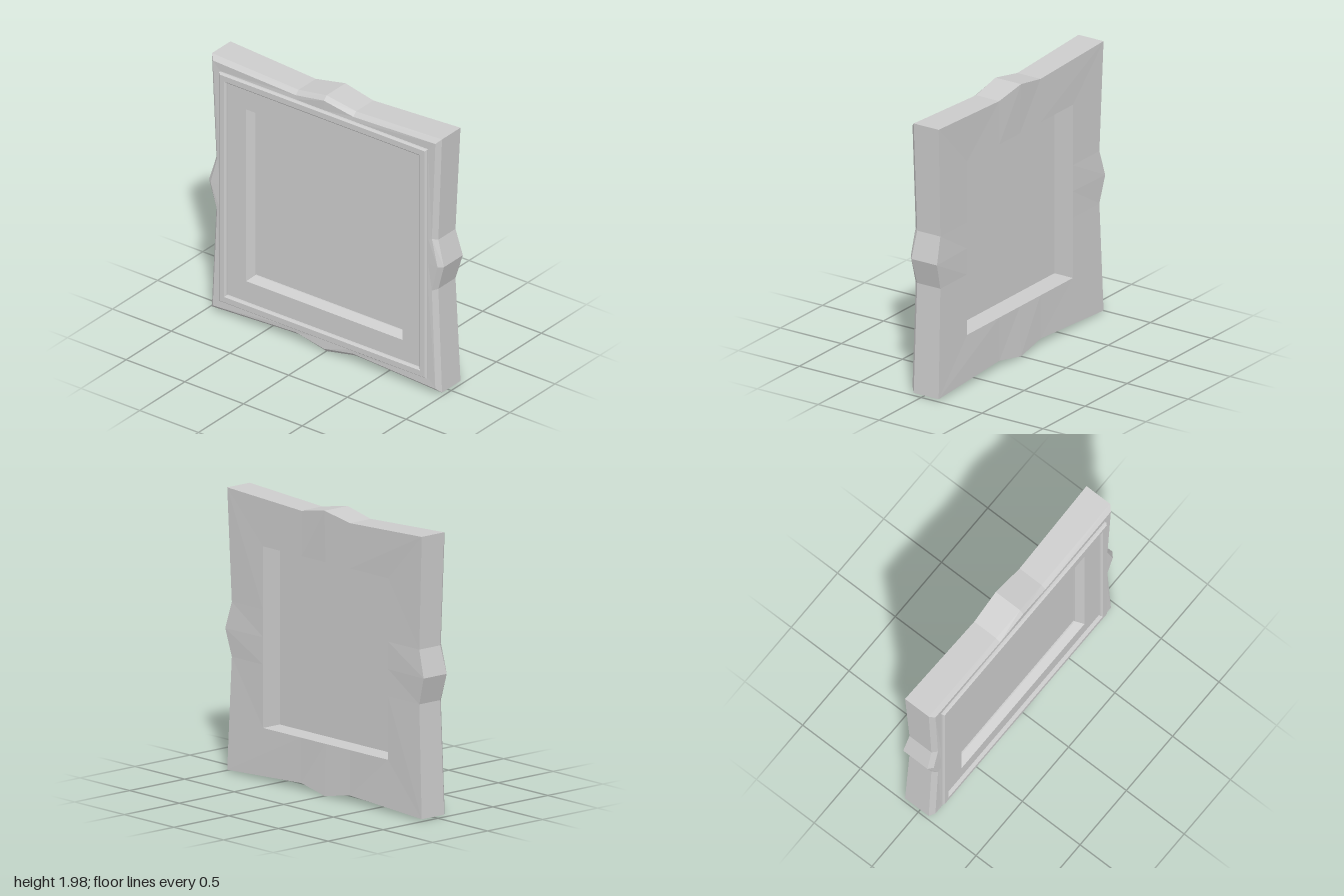
import * as THREE from 'three';

const material = new THREE.MeshStandardMaterial({ color: 0xcccccc, flatShading: true });

// One loop of 16 points, counter-clockwise from the front: corner, dip, peak, dip on each side.
// side and top give [distance of dip, distance of peak, offset of dip along the edge]; z likewise per kind.
function ring(corner, side, top, [zCorner, zDip, zPeak]) {
  const points = [];
  for (let i = 0; i < 4; i++) {
    const [dip, peak, along] = i % 2 ? top : side;
    const edge = [
      [corner, -corner, zCorner], [dip, -along, zDip], [peak, 0, zPeak], [dip, along, zDip],
    ];
    for (const [u, v, z] of edge) {
      points.push(new THREE.Vector3(u, v, z).applyAxisAngle(new THREE.Vector3(0, 0, 1), i * Math.PI / 2));
    }
  }
  return points;
}

const square = (h, z) => ring(h, [h, h, 0.19], [h, h, 0.245], [z, z, z]);

// Skin between successive loops; the last joins the first to close the cross-section.
function loft(name, rings) {
  const positions = [];
  rings.forEach((a, k) => {
    const b = rings[(k + 1) % rings.length];
    a.forEach((p, j) => {
      const n = (j + 1) % a.length;
      for (const q of [p, a[n], b[n], p, b[n], b[j]]) positions.push(q.x, q.y, q.z);
    });
  });
  const geometry = new THREE.BufferGeometry();
  geometry.setAttribute('position', new THREE.Float32BufferAttribute(positions, 3));
  geometry.computeVertexNormals();
  const mesh = new THREE.Mesh(geometry, material);
  mesh.name = name;
  return mesh;
}

export function createModel() {
  const model = new THREE.Group();
  model.name = 'pictureFrame';
  const parts = new THREE.Group();
  parts.name = 'frame';
  parts.position.y = 1;
  model.add(parts);

  // Wavy outer body with chamfered front edge and bevelled opening
  const outerSide = [0.945, 1, 0.19];
  const outerTop = [0.945, 0.99, 0.245];
  parts.add(loft('frameBody', [
    ring(0.98, outerSide, outerTop, [-0.13, -0.12, -0.13]),
    ring(0.98, outerSide, outerTop, [0.075, 0.07, 0.08]),
    ring(0.948, [0.915, 0.967, 0.2], [0.917, 0.96, 0.245], [0.107, 0.103, 0.108]),
    square(0.885, 0.105),
    square(0.665, 0.105),
    square(0.63, 0.05),
    square(0.63, -0.12),
  ]));

  // Raised square moulding with chamfered edges
  parts.add(loft('moulding', [
    square(0.885, 0.1),
    square(0.885, 0.118),
    square(0.875, 0.13),
    square(0.834, 0.13),
    square(0.822, 0.118),
    square(0.822, 0.1),
  ]));

  // Flat panel closing the opening
  const panel = new THREE.Mesh(new THREE.BoxGeometry(1.26, 1.26, 0.008), material);
  panel.name = 'panel';
  panel.position.z = 0.036;
  parts.add(panel);

  return model;
}
